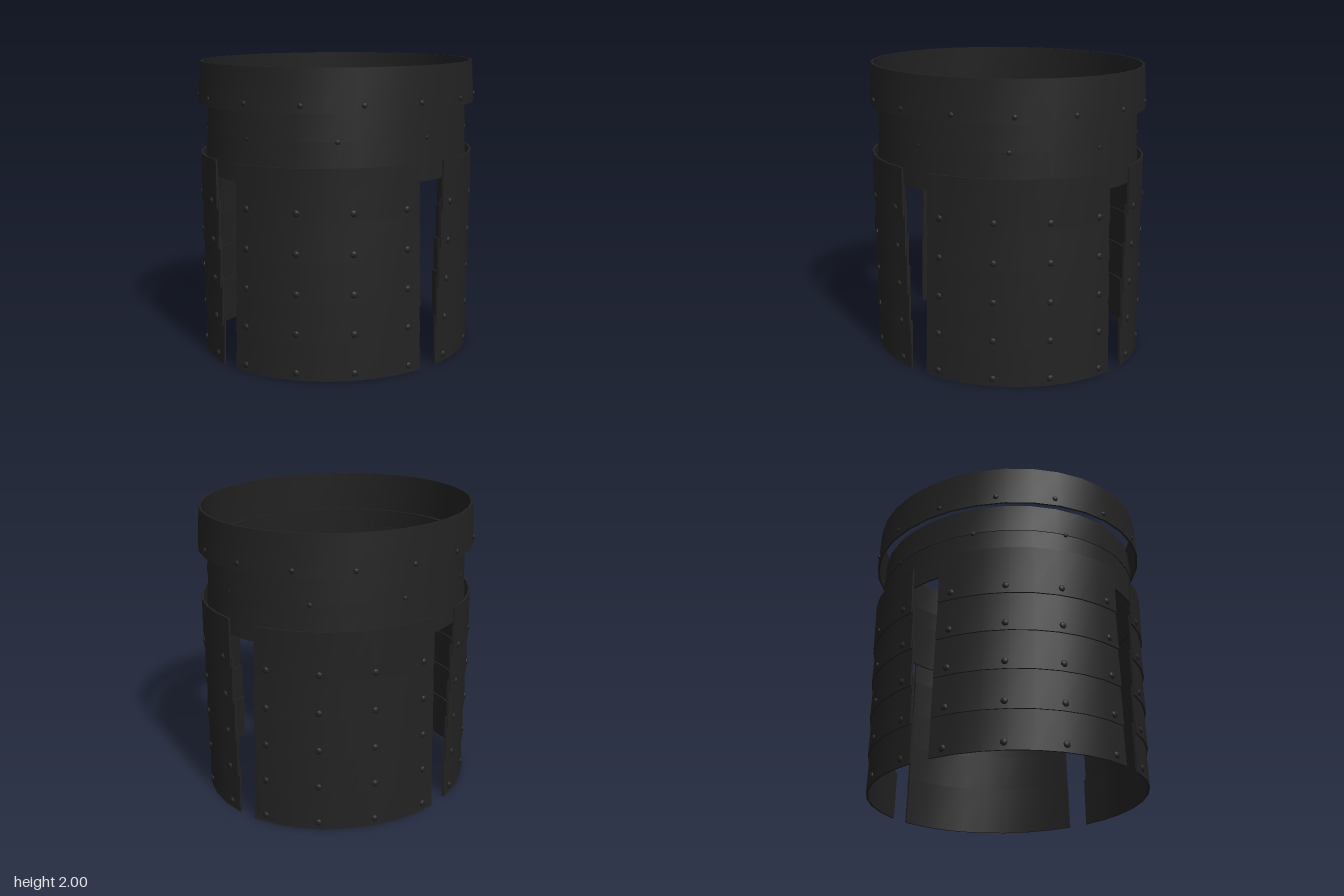
import * as THREE from 'three';
import { toCreasedNormals } from 'three/addons/utils/BufferGeometryUtils.js';

const DEPTH_RATIO = 0.927; // the waist is an ellipse, a little narrower front to back
const THICKNESS = 0.014;
const rad = THREE.MathUtils.degToRad;

// Bends a flat slab round the waist; angles are measured from the front towards +x.
function bentPlate({ top, bottom, rTop, rBottom, centre, spanTop, spanBottom, segments }) {
  const geo = new THREE.BoxGeometry(1, 1, 1, segments, 1, 1);
  const pos = geo.attributes.position;
  for (let i = 0; i < pos.count; i++) {
    const t = pos.getY(i) + 0.5;
    const a = centre + pos.getX(i) * THREE.MathUtils.lerp(spanBottom, spanTop, t);
    const inset = (0.5 - pos.getZ(i)) * THICKNESS;
    const r = THREE.MathUtils.lerp(rBottom, rTop, t);
    pos.setXYZ(
      i,
      Math.sin(a) * (r - inset),
      THREE.MathUtils.lerp(bottom, top, t),
      Math.cos(a) * (r * DEPTH_RATIO - inset)
    );
  }
  return toCreasedNormals(geo, 0.6);
}

export function createModel() {
  const model = new THREE.Group();
  const blackLeather = new THREE.MeshStandardMaterial({ color: 0x222222 });
  const rivetGeo = new THREE.SphereGeometry(1, 10, 8);

  function add(parent, name, geo) {
    const mesh = new THREE.Mesh(geo, blackLeather);
    mesh.name = name;
    parent.add(mesh);
    return mesh;
  }

  function addRivet(parent, angle, y, r, size) {
    const rivet = add(parent, 'rivet', rivetGeo);
    rivet.position.set(Math.sin(angle) * r, y, Math.cos(angle) * r * DEPTH_RATIO);
    rivet.rotation.y = angle;
    rivet.scale.set(size, size, size * 0.55);
  }

  // Full hoops: the wide belt and the two waist bands beneath it
  const hoops = [
    { name: 'belt', top: 2, bottom: 1.72, rTop: 0.967, rBottom: 0.985, rivets: 15, start: -6, rivetY: 1.77, size: 0.018 },
    { name: 'upperWaistBand', top: 1.735, bottom: 1.54, rTop: 0.915, rBottom: 0.929, rivets: 0 },
    { name: 'lowerWaistBand', top: 1.6, bottom: 1.26, rTop: 0.918, rBottom: 0.942, rivets: 9, start: 0, rivetY: 1.54, size: 0.016 },
  ];
  for (const h of hoops) {
    const group = new THREE.Group();
    group.name = h.name;
    const full = Math.PI * 2;
    add(group, h.name + 'Hoop', bentPlate({ ...h, centre: Math.PI, spanTop: full, spanBottom: full, segments: 32 }));
    const t = (h.rivetY - h.bottom) / (h.top - h.bottom);
    for (let i = 0; i < h.rivets; i++) {
      const r = THREE.MathUtils.lerp(h.rBottom, h.rTop, t);
      addRivet(group, rad(h.start) + (i * full) / h.rivets, h.rivetY, r, h.size);
    }
    model.add(group);
  }

  // Four hanging panels, each of five overlapping plates that widen downwards
  const panels = ['frontLeftPanel', 'backLeftPanel', 'backRightPanel', 'frontRightPanel'];
  panels.forEach((name, p) => {
    const group = new THREE.Group();
    group.name = name;
    const centre = rad(45 + 90 * p);
    for (let row = 0; row < 5; row++) {
      const bottom = 1.05 - row * 0.2625;
      const rBottom = 0.978 - row * 0.002;
      const gap = 6.9 - row * 0.57; // half the slit, in degrees
      add(group, 'plate', bentPlate({
        top: bottom + 0.332, bottom, rBottom,
        rTop: row === 0 ? 0.975 : rBottom - 0.013,
        centre, spanTop: rad(90 - 2 * gap), spanBottom: rad(90 - 2 * (gap - 0.3)), segments: 8,
      }));
      // Row of four rivets just above the lower edge
      const spread = 66 + row;
      for (let i = 0; i < 4; i++) {
        addRivet(group, centre + rad(spread * (i / 3 - 0.5)), bottom + 0.05, rBottom - 0.004, 0.023);
      }
    }
    model.add(group);
  });

  return model;
}
